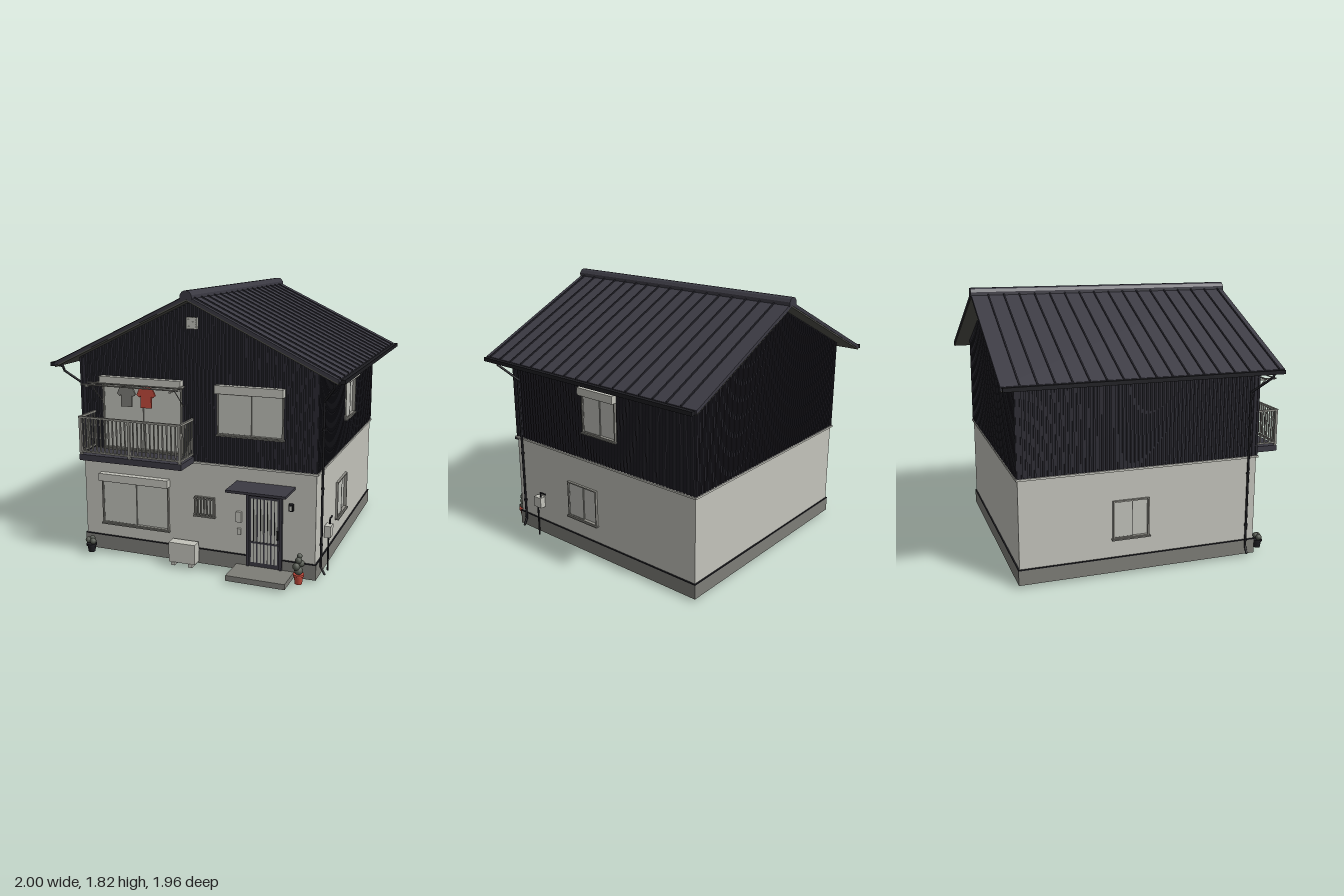
import * as THREE from 'three';
import { mergeGeometries } from 'three/addons/utils/BufferGeometryUtils.js';

const mat = (name, color) => Object.assign(new THREE.MeshStandardMaterial({ color }), { name });
const M = {
  wall: mat('pale plaster', 0xc3c3bb),
  panel: mat('dark ribbed cladding', 0x2a2931),
  roof: mat('roof metal', 0x3b3a43),
  base: mat('concrete grey', 0x7d7d77),
  metal: mat('railing metal', 0x92918a),
  glass: mat('pale glass', 0xbfc0b9),
  black: mat('black trim', 0x1d1d21),
  red: mat('terracotta red', 0xc04a3c),
  leaf: mat('foliage', 0x50554c),
  soffit: mat('soffit', 0x50504a),
};

const add = (parent, name, geo, material) => {
  const mesh = new THREE.Mesh(geo, material);
  mesh.name = name;
  parent.add(mesh);
  return mesh;
};
const group = (parent, name) => {
  const g = new THREE.Group();
  g.name = name;
  parent.add(g);
  return g;
};
// Box given by its limits on each axis
const boxGeo = (x0, x1, y0, y1, z0, z1) =>
  new THREE.BoxGeometry(x1 - x0, y1 - y0, z1 - z0).translate((x0 + x1) / 2, (y0 + y1) / 2, (z0 + z1) / 2);
const box = (p, name, m, ...b) => add(p, name, boxGeo(...b), m);
const shapeOf = pts => new THREE.Shape(pts.map(p => new THREE.Vector2(...p)));
const extrude = (shape, z0, z1) =>
  new THREE.ExtrudeGeometry(shape, { depth: z1 - z0, bevelEnabled: false }).translate(0, 0, z0);
// Straight-sided pipe through points
const pipe = (p, name, m, pts, r) => {
  const path = new THREE.CurvePath();
  const v = pts.map(a => new THREE.Vector3(...a));
  for (let i = 1; i < v.length; i++) path.add(new THREE.LineCurve3(v[i - 1], v[i]));
  const parts = path.curves.map(c => new THREE.TubeGeometry(c, 1, r, 8));
  v.forEach(a => parts.push(new THREE.SphereGeometry(r, 8, 6).translate(a.x, a.y, a.z)));
  return add(p, name, mergeGeometries(parts), m);
};

// Wall plate with openings [u0, u1, y0, y1]; its outer face is at local z = 0
function wall(p, name, m, pts, openings) {
  const s = shapeOf(pts);
  for (const [a, b, c, d] of openings) {
    s.holes.push(new THREE.Path([[a, c], [a, d], [b, d], [b, c]].map(q => new THREE.Vector2(...q))));
  }
  add(p, name, extrude(s, -0.02, 0), m);
}

// Vertical cladding ribs, interrupted at openings
function ribs(p, u0, u1, y0, top, openings) {
  const n = Math.round((u1 - u0) / 0.027), parts = [];
  for (let i = 0; i <= n; i++) {
    const u = u0 + (u1 - u0) * i / n;
    const o = openings.find(([a, b]) => u > a - 0.006 && u < b + 0.006);
    const spans = o ? [[y0, o[2]], [o[3], top(u)]] : [[y0, top(u)]];
    for (const [a, b] of spans) if (b - a > 0.01) parts.push(boxGeo(u - 0.006, u + 0.006, a, b, -0.027, 0.008));
  }
  add(p, 'claddingRibs', mergeGeometries(parts), M.panel);
}

// Two-pane sliding window with an optional shutter box on top
function slidingWindow(p, name, [u0, u1, y0, y1], shutter) {
  const g = group(p, name), t = 0.009, mid = (u0 + u1) / 2;
  const frame = (a, b, c, d, w, z0, z1) => {
    const s = shapeOf([[a, c], [b, c], [b, d], [a, d]]);
    s.holes.push(new THREE.Path([[a + w, c + w], [a + w, d - w], [b - w, d - w], [b - w, c + w]].map(q => new THREE.Vector2(...q))));
    return extrude(s, z0, z1);
  };
  add(g, 'outerFrame', frame(u0, u1, y0, y1, t, -0.025, 0.016), M.metal);
  add(g, 'leftSash', frame(u0 + t, mid + 0.01, y0 + t, y1 - t, 0.004, 0.0, 0.009), M.base);
  box(g, 'leftPane', M.glass, u0 + t, mid + 0.008, y0 + t, y1 - t, 0.001, 0.007);
  box(g, 'rightPane', M.glass, mid - 0.01, u1 - t, y0 + t, y1 - t, -0.012, -0.006);
  box(g, 'sill', M.base, u0 - 0.006, u1 + 0.006, y0 - 0.006, y0 + 0.003, -0.01, 0.026);
  if (shutter) {
    box(g, 'shutterBox', M.wall, u0 - 0.006, u1 + 0.006, y1, y1 + 0.05, -0.005, 0.045);
    box(g, 'shutterLip', M.base, u0 - 0.006, u1 + 0.006, y1 - 0.004, y1, -0.005, 0.042);
  }
}

function potPlant(p, name, x, z, potMat, potH, balls) {
  const g = group(p, name);
  g.position.set(x, 0.02, z);
  add(g, 'pot', new THREE.CylinderGeometry(0.032, 0.023, potH, 12).translate(0, potH / 2, 0), potMat);
  add(g, 'potRim', new THREE.CylinderGeometry(0.036, 0.036, 0.014, 12).translate(0, potH - 0.007, 0), potMat);
  const parts = balls.map(([bx, by, bz, r]) => new THREE.IcosahedronGeometry(r, 1).translate(bx, potH + by, bz));
  add(g, 'leaves', mergeGeometries(parts), M.leaf);
}

export function createModel() {
  const house = new THREE.Group();
  house.name = 'house';
  const X = 0.82, ZF = 0.772, ZB = 0.865, MID = 0.71;
  const gable = x => 1.755 - 0.48 * Math.abs(x);

  // Four facades, each built flat in its own frame
  const facade = (name, x, z, turn) => {
    const g = group(house, name);
    g.position.set(x, 0, z);
    g.rotation.y = turn;
    return g;
  };
  const sides = [
    { g: facade('frontFacade', 0, ZF, 0), a: -X, b: X, peak: true,
      low: [[-0.685, -0.185, 0.215, 0.525], [0.005, 0.145, 0.355, 0.485], [0.365, 0.605, 0.13, 0.555]],
      high: [[-0.655, -0.08, 0.755, 1.195], [0.165, 0.605, 0.91, 1.185]] },
    { g: facade('backFacade', 0, -ZB, Math.PI), a: -X, b: X, peak: true, low: [], high: [] },
    { g: facade('leftFacade', X, 0, Math.PI / 2), a: -ZF, b: ZB,
      low: [[-0.25, 0.025, 0.25, 0.51]], high: [[-0.08, 0.22, 0.91, 1.18]] },
    { g: facade('rightFacade', -X, 0, -Math.PI / 2), a: -ZB, b: ZF,
      low: [[-0.25, 0.0, 0.25, 0.51]], high: [] },
  ];
  for (const { g, a, b, peak, low, high } of sides) {
    wall(g, 'lowerWall', M.wall, [[a, 0.12], [b, 0.12], [b, MID], [a, MID]], low);
    const top = gable(X);
    wall(g, 'upperWall', M.panel,
      [[a, MID], [b, MID], [b, top], ...(peak ? [[0, gable(0)]] : []), [a, top]], high);
    ribs(g, a + 0.004, b - 0.004, MID + 0.008, u => (peak ? gable(u) : top) - 0.005, high);
    box(g, 'foundation', M.base, a - 0.008, b + 0.008, 0.02, 0.12, -0.02, 0.008);
    box(g, 'foundationLedge', M.black, a - 0.009, b + 0.009, 0.118, 0.125, -0.01, 0.009);
    box(g, 'bandTrim', M.wall, a - 0.012, b + 0.012, MID - 0.005, MID + 0.008, -0.01, 0.012);
  }
  const [front, , left, right] = sides;
  slidingWindow(front.g, 'livingRoomWindow', front.low[0], true);
  slidingWindow(front.g, 'balconyWindow', front.high[0], true);
  slidingWindow(front.g, 'bedroomWindow', front.high[1], true);
  slidingWindow(front.g, 'barredWindow', front.low[1], false);
  slidingWindow(left.g, 'leftUpperWindow', left.high[0], true);
  slidingWindow(left.g, 'leftLowerWindow', left.low[0], false);
  slidingWindow(right.g, 'rightLowerWindow', right.low[0], false);

  // Window bars
  const bars = group(front.g, 'windowBars');
  for (let i = 0; i < 7; i++) box(bars, 'bar', M.metal, 0.008 + i * 0.022, 0.015 + i * 0.022, 0.352, 0.49, 0.026, 0.033);
  for (const y of [0.365, 0.472]) box(bars, 'crossBar', M.metal, 0.002, 0.15, y, y + 0.006, 0.023, 0.029);

  // Entrance door
  const door = group(front.g, 'door');
  for (const x of [0.365, 0.587]) box(door, 'jamb', M.roof, x, x + 0.018, 0.055, 0.555, -0.022, 0.02);
  box(door, 'lintel', M.roof, 0.365, 0.605, 0.532, 0.555, -0.022, 0.02);
  box(door, 'panel', M.roof, 0.383, 0.587, 0.055, 0.532, -0.015, 0.01);
  for (let i = 0; i < 4; i++) box(door, 'glassStrip', M.glass, 0.396 + i * 0.047, 0.432 + i * 0.047, 0.085, 0.515, 0.006, 0.013);
  for (let i = 0; i < 4; i++) box(door, 'mullion', M.black, 0.412 + i * 0.047, 0.416 + i * 0.047, 0.085, 0.515, 0.012, 0.016);
  box(door, 'midRail', M.roof, 0.39, 0.582, 0.215, 0.228, 0.008, 0.016);
  box(door, 'handle', M.black, 0.572, 0.582, 0.26, 0.32, 0.012, 0.028);
  box(house, 'canopy', M.roof, 0.295, 0.685, 0.602, 0.618, ZF, 0.98);
  box(house, 'doorStep', M.base, 0.295, 0.685, 0.02, 0.056, ZF, 0.98);

  // Small fittings by the door and in the gable
  box(front.g, 'mailbox', M.wall, 0.295, 0.33, 0.345, 0.415, 0, 0.02);
  box(front.g, 'intercom', M.wall, 0.3, 0.325, 0.26, 0.3, 0, 0.014);
  box(front.g, 'lampPlate', M.black, 0.648, 0.677, 0.462, 0.508, 0, 0.024);
  box(front.g, 'lampGlass', M.glass, 0.655, 0.67, 0.47, 0.497, 0.02, 0.028);
  box(front.g, 'gableVent', M.wall, -0.036, 0.036, 1.577, 1.65, 0, 0.02);
  for (let i = 1; i < 5; i++) box(front.g, 'ventSlat', M.glass, -0.03, 0.03, 1.575 + i * 0.0145, 1.58 + i * 0.0145, 0.015, 0.023);

  // Roof: slopes, soffits, standing seams, ridge and gutters
  const roof = group(house, 'roof');
  const slope = (s, e, hi, lo) => {
    const pts = [[0, 1.79 + hi], [s * e, 1.79 + hi - 0.48 * e], [s * e, 1.79 + lo - 0.48 * e], [0, 1.79 + lo]];
    return shapeOf(pts);
  };
  for (const s of [-1, 1]) {
    add(roof, 'roofSlope', extrude(slope(s, 0.965, 0, -0.024), -0.978, 0.872), M.roof);
    add(roof, 'roofSoffit', extrude(slope(s, 0.96, -0.023, -0.034), -0.974, 0.868), M.soffit);
    const seams = [];
    for (let i = 0; i < 17; i++) seams.push(extrude(slope(s, 0.966, 0.009, -0.005), -0.87 + i * 0.106, -0.861 + i * 0.106));
    add(roof, 'roofSeams', mergeGeometries(seams), M.panel);
    box(roof, 'gutter', M.black, s * 0.986 - 0.014, s * 0.986 + 0.014, 1.3, 1.326, -0.97, 0.86);
    for (let i = 0; i < 6; i++) {
      const z = -0.965 + i * 0.362;
      box(roof, 'gutterBracket', M.black, s * 0.965 - 0.02, s * 0.965 + 0.02, 1.302, 1.312, z, z + 0.01);
    }
    // Drainpipes
    const dp = group(house, 'drainpipe');
    pipe(dp, 'downpipe', M.black, [[0.975, 1.305, 0.825], [0.928, 1.298, 0.825], [0.925, 1.265, 0.81], [0.841, 1.16, 0.705],
      [0.841, 0.085, 0.705], [0.865, 0.04, 0.705]].map(([x, y, z]) => [s * x, y, z]), 0.008);
    for (const y of [0.985, 0.605, 0.235]) {
      add(dp, 'pipeClip', new THREE.CylinderGeometry(0.012, 0.012, 0.014, 8).translate(s * 0.841, y, 0.705), M.black);
    }
  }
  add(roof, 'ridgeCap', extrude(shapeOf([[-0.04, 1.765], [0.04, 1.765], [0.039, 1.793], [0.026, 1.812], [0.01, 1.82],
    [-0.01, 1.82], [-0.026, 1.812], [-0.039, 1.793]]), -0.982, 0.878), M.roof);

  // Balcony
  const balcony = group(house, 'balcony');
  box(balcony, 'balconyFloor', M.roof, -0.73, 0, 0.708, 0.748, ZF, 0.98);
  const rails = [[0.99, 1.003], [0.762, 0.772]];
  for (const [a, b] of rails) {
    box(balcony, 'frontRail', M.metal, -0.73, 0, a, b, 0.964, 0.98);
    for (const x of [-0.73, -0.014]) box(balcony, 'sideRail', M.metal, x, x + 0.014, a, b, ZF, 0.97);
  }
  for (const x of [-0.728, -0.374, -0.02]) box(balcony, 'post', M.metal, x, x + 0.018, 0.745, 0.995, 0.963, 0.979);
  for (let i = 1; i < 24; i++) {
    const x = -0.72 + i * 0.0296;
    box(balcony, 'baluster', M.metal, x - 0.004, x + 0.004, 0.765, 0.995, 0.968, 0.976);
  }
  for (const x of [-0.723, -0.007]) for (let i = 0; i < 6; i++) {
    const z = 0.79 + i * 0.032;
    box(balcony, 'sideBaluster', M.metal, x - 0.004, x + 0.004, 0.765, 0.995, z - 0.004, z + 0.004);
  }

  // Laundry poles with two shirts
  const laundry = group(house, 'laundry');
  for (const x of [-0.665, -0.07]) {
    box(laundry, 'poleArm', M.metal, x - 0.006, x + 0.006, 1.198, 1.21, ZF, 0.98);
    pipe(laundry, 'armBrace', M.metal, [[x, 1.2, 0.91], [x, 1.08, 0.78]], 0.003);
  }
  for (const z of [0.89, 0.965]) pipe(laundry, 'laundryPole', M.metal, [[-0.705, 1.213, z], [-0.02, 1.213, z]], 0.005);
  const half = [[0.022, 1.205], [0.045, 1.2], [0.066, 1.155], [0.046, 1.14], [0.038, 1.15], [0.038, 1.072]];
  const shirt = shapeOf([...half, ...half.map(([x, y]) => [-x, y]).reverse()]);
  [[-0.418, M.base], [-0.277, M.red]].forEach(([x, m]) =>
    add(laundry, 'shirt', extrude(shirt, 0.884, 0.896), m).position.x = x);

  // Outdoor cooling unit
  const unit = group(house, 'outdoorUnit');
  box(unit, 'unitBody', M.wall, -0.15, 0.035, 0.04, 0.175, 0.795, 0.868);
  for (const x of [-0.132, -0.008]) box(unit, 'unitFoot', M.wall, x, x + 0.028, 0.02, 0.042, 0.79, 0.873);

  // Meter box on its pole
  const meter = group(house, 'meter');
  box(meter, 'meterBox', M.wall, 0.826, 0.868, 0.235, 0.312, 0.505, 0.575);
  pipe(meter, 'meterPole', M.black, [[0.85, 0.006, 0.557], [0.85, 0.24, 0.557]], 0.006);
  pipe(meter, 'meterElbow', M.black, [[0.85, 0.31, 0.522], [0.85, 0.348, 0.522], [0.85, 0.348, 0.47]], 0.006);

  // Potted plants
  potPlant(house, 'smallPlant', -0.745, 0.85, M.black, 0.058,
    [[-0.022, 0.022, 0, 0.022], [0.018, 0.02, 0.01, 0.022], [0, 0.03, -0.012, 0.021]]);
  potPlant(house, 'tallPlant', 0.738, 0.857, M.red, 0.066,
    [[0, 0.02, 0, 0.028], [-0.012, 0.05, 0.012, 0.025], [0.012, 0.066, -0.01, 0.024], [0, 0.09, 0.004, 0.022], [0.003, 0.113, -0.008, 0.018]]);
  return house;
}
